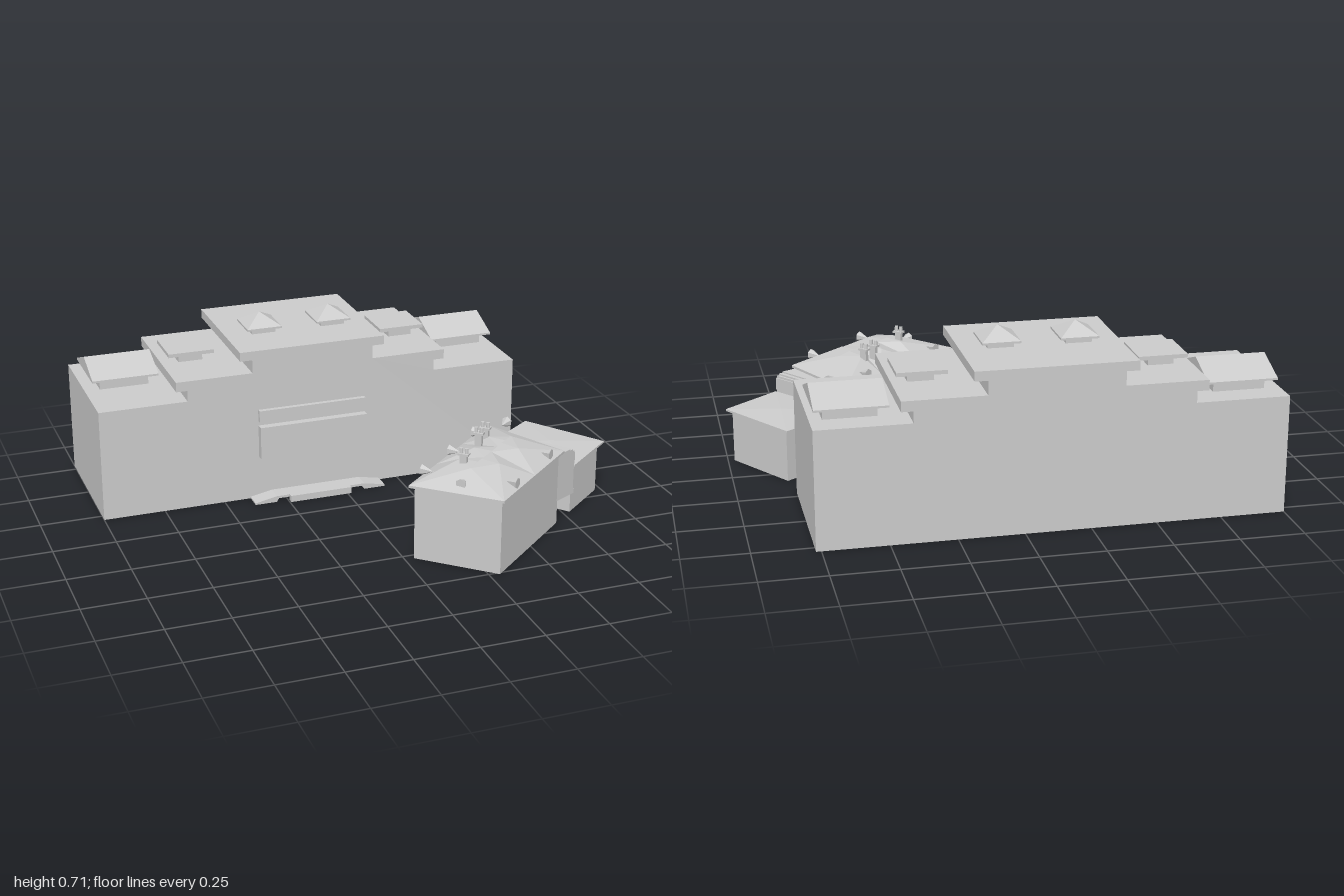
import * as THREE from 'three';

const mat = new THREE.MeshStandardMaterial({ color: 0xcccccc, flatShading: true, side: THREE.DoubleSide });

export function createModel() {
  const root = new THREE.Group();
  const add = (name, geo, parent = root) => {
    const m = new THREE.Mesh(geo, mat);
    m.name = name;
    parent.add(m);
    return m;
  };
  const group = (name) => {
    const g = new THREE.Group();
    g.name = name;
    root.add(g);
    return g;
  };
  // Box given by its limits
  const box = (name, x0, x1, y0, y1, z0, z1, parent) =>
    add(name, new THREE.BoxGeometry(x1 - x0, y1 - y0, z1 - z0)
      .translate((x0 + x1) / 2, (y0 + y1) / 2, (z0 + z1) / 2), parent);
  // Outline extruded along z
  const extrude = (pts, depth) => new THREE.ExtrudeGeometry(
    new THREE.Shape(pts.map((p) => new THREE.Vector2(...p))), { depth, bevelEnabled: false });
  // Plan outline in x, z extruded upwards
  const prism = (pts, y0, y1) => extrude(pts.map(([x, z]) => [x, -z]), y1 - y0)
    .rotateX(-Math.PI / 2).translate(0, y0, 0);
  // Drop the triangles lying on the ground, so the shell is open below
  const openBelow = (geo) => {
    const p = geo.attributes.position, out = [];
    for (let i = 0; i < p.count; i += 3) {
      if (Math.max(p.getY(i), p.getY(i + 1), p.getY(i + 2)) < 1e-4) continue;
      for (let k = i; k < i + 3; k++) out.push(p.getX(k), p.getY(k), p.getZ(k));
    }
    return soup(out);
  };
  const soup = (flat) => {
    const g = new THREE.BufferGeometry();
    g.setAttribute('position', new THREE.Float32BufferAttribute(flat, 3));
    g.computeVertexNormals();
    return g;
  };

  // Large stepped block with overhanging upper storeys
  const cx = -0.115;
  const half = [[0.885, 0], [0.885, 0.46], [0.525, 0.46], [0.525, 0.505], [0.57, 0.505], [0.57, 0.545],
    [0.255, 0.545], [0.255, 0.6], [0.305, 0.6], [0.305, 0.637]];
  const outline = [...half.map(([x, y]) => [cx + x, y]), ...half.map(([x, y]) => [cx - x, y]).reverse()];
  add('steppedBlock', openBelow(extrude(outline, 0.575).translate(0, 0, -0.787)));

  // Facade panels
  box('lowerPanel', -0.35, 0.105, 0.18, 0.317, -0.212, -0.18);
  box('upperPanel', -0.35, 0.105, 0.337, 0.385, -0.235, -0.192);

  // Entrance ramp and step
  add('entranceRamp', extrude([[-0.39, 0], [-0.3, 0], [-0.29, 0.015], [0.07, 0.015], [0.08, 0], [0.17, 0],
    [0.17, 0.007], [0.08, 0.025], [-0.3, 0.025], [-0.39, 0.007]], 0.07).translate(0, 0, -0.212));
  box('entranceStep', -0.245, 0.015, 0, 0.027, -0.145, -0.12);

  // Pyramid cupolas on the top roof
  for (const x of [-0.26, 0.037]) {
    const g = group('cupola');
    box('cupolaNeck', x - 0.05, x + 0.05, 0.63, 0.656, -0.53, -0.408, g);
    box('cupolaEave', x - 0.073, x + 0.073, 0.655, 0.663, -0.549, -0.393, g);
    add('cupolaRoof', new THREE.ConeGeometry(Math.SQRT1_2, 1, 4).rotateY(Math.PI / 4)
      .scale(0.146, 0.047, 0.156).translate(x, 0.6865, -0.471), g);
  }

  // Flat ventilators on the middle roofs
  for (const x of [-0.565, 0.345]) {
    const g = group('ventilator');
    box('ventilatorNeck', x - 0.05, x + 0.05, 0.54, 0.577, -0.575, -0.437, g);
    box('ventilatorCap', x - 0.095, x + 0.095, 0.575, 0.59, -0.605, -0.415, g);
  }

  // Gabled rooflights on the lowest roofs
  for (const x of [-0.838, 0.622]) {
    const g = group('rooflight');
    box('rooflightNeck', x - 0.1, x + 0.1, 0.455, 0.507, -0.68, -0.46, g);
    add('rooflightRoof', extrude([[0.425, 0.503], [0.722, 0.503], [0.722, 0.511], [0.573, 0.566], [0.425, 0.511]], 0.272)
      .rotateY(-Math.PI / 2).scale(1, 1, -1).translate(0, 0, 0)
      .applyMatrix4(new THREE.Matrix4().makeScale(1, 1, 1)).translate(x + 0.136, 0, 0), g).geometry.computeVertexNormals();
  }

  // House set at an angle: a, b, c, d are its eave corners
  const house = group('house');
  const a = [0.01, 0.53], b = [0.29, 0.783], c = [0.705, 0.43], d = [0.53, 0.08];
  // Point on the house plan: s along its length, t from the back eave to the front eave
  const at = (s, t) => [0, 1].map((k) =>
    (a[k] * (1 - s) + d[k] * s) * (1 - t) + (b[k] * (1 - s) + c[k] * s) * t);
  add('houseWalls', openBelow(prism([at(0.03, 0.04), at(0.03, 0.96), at(0.97, 0.96), at(0.97, 0.04)], 0, 0.303)), house);
  add('houseEave', prism([a, b, c, d], 0.3, 0.31), house);

  // Roof of hipped bays around one ridge, with valleys between the bays
  const tri = [];
  const P = (s, t, y) => { const [x, z] = at(s, t); return [x, y, z]; };
  const face = (p, q, r) => tri.push(...p, ...q, ...r);
  const s0 = 0.2, s1 = 0.78;
  const R = (s) => s0 + (s1 - s0) * s;
  for (const [t0, ta, n] of [[0, 0.3, 3], [1, 0.7, 2]]) {
    for (let i = 0; i < n; i++) {
      const e0 = P(i / n, t0, 0.31), e1 = P((i + 1) / n, t0, 0.31);
      const mid = R((i + 0.5) / n), apex = P(mid, ta, 0.366), top = P(mid, 0.5, 0.37);
      const v0 = P(R(i / n), 0.5, 0.365), v1 = P(R((i + 1) / n), 0.5, 0.365);
      for (const f of [[e0, e1, apex], [e0, apex, v0], [v0, apex, top], [apex, e1, v1], [apex, v1, top]]) {
        if (t0) face(f[0], f[1], f[2]); else face(f[0], f[2], f[1]);
      }
    }
  }
  face(P(0, 0, 0.31), P(0, 1, 0.31), P(s0, 0.5, 0.365));
  face(P(1, 1, 0.31), P(1, 0, 0.31), P(s1, 0.5, 0.365));
  add('houseRoof', soup(tri), house);

  // Small pointed dormers, each turned outwards by its angle
  const along = Math.atan2(0.52, -0.45);
  for (const [x, z, turn] of [[0.11, 0.475, along - Math.PI / 2 + Math.PI], [0.28, 0.335, along + Math.PI / 2],
    [0.44, 0.195, along + Math.PI / 2], [0.195, 0.62, along + Math.PI], [0.365, 0.68, along - Math.PI / 2],
    [0.6, 0.475, along - Math.PI / 2], [0.575, 0.145, along]]) {
    const m = add('dormer', new THREE.ConeGeometry(0.022, 0.05, 6).rotateX(-Math.PI / 2), house);
    m.position.set(x, 0.333, z);
    m.rotation.y = turn;
  }

  // Chimneys with a cap and two pots
  for (const [x, z] of [[0.24, 0.515], [0.375, 0.345], [0.42, 0.305]]) {
    const g = new THREE.Group();
    g.name = 'chimney';
    box('chimneyShaft', -0.014, 0.014, 0.33, 0.395, -0.009, 0.009, g);
    box('chimneyCap', -0.021, 0.021, 0.395, 0.403, -0.014, 0.014, g);
    for (const k of [-1, 1]) {
      add('chimneyPot', new THREE.CylinderGeometry(0.007, 0.008, 0.02, 8).translate(k * 0.011, 0.413, 0), g);
    }
    g.position.set(x, 0, z);
    g.rotation.y = -0.75;
    house.add(g);
  }

  // Raised link between house and annex, with a rounded top edge
  const link = group('link');
  const inner = [at(0.93, 0.06), at(0.93, 0.95)], outer = [[0.78, 0.38], [0.535, 0.075]];
  const lerp = (p, q, k) => [p[0] + (q[0] - p[0]) * k, p[1] + (q[1] - p[1]) * k];
  const ring = (k) => [inner[0], inner[1], lerp(inner[1], outer[0], k), lerp(inner[0], outer[1], k)];
  add('linkFloor', prism(ring(1), 0.097, 0.117), link);
  add('linkWalls', prism(ring(0.95), 0.117, 0.275), link);
  [[0.98, 0.225, 0.275], [0.94, 0.275, 0.284], [0.86, 0.284, 0.291], [0.72, 0.291, 0.296]]
    .forEach(([k, y0, y1]) => add('linkRoof', prism(ring(k), y0, y1), link));

  // Annex with a low pyramid roof
  const annex = group('annex');
  const plan = [[0.535, 0.07], [0.78, 0.38], [1, 0.2], [0.79, -0.11]];
  const centre = [0.785, 0.135];
  add('annexWalls', openBelow(prism(plan.map((p) => lerp(p, centre, 0.12)), 0, 0.212)), annex);
  add('annexEave', prism(plan, 0.21, 0.218), annex);
  const hips = [];
  plan.forEach((p, i) => {
    const q = plan[(i + 1) % 4];
    hips.push(p[0], 0.218, p[1], q[0], 0.218, q[1], centre[0], 0.227, centre[1]);
  });
  add('annexRoof', soup(hips), annex);

  return root;
}
